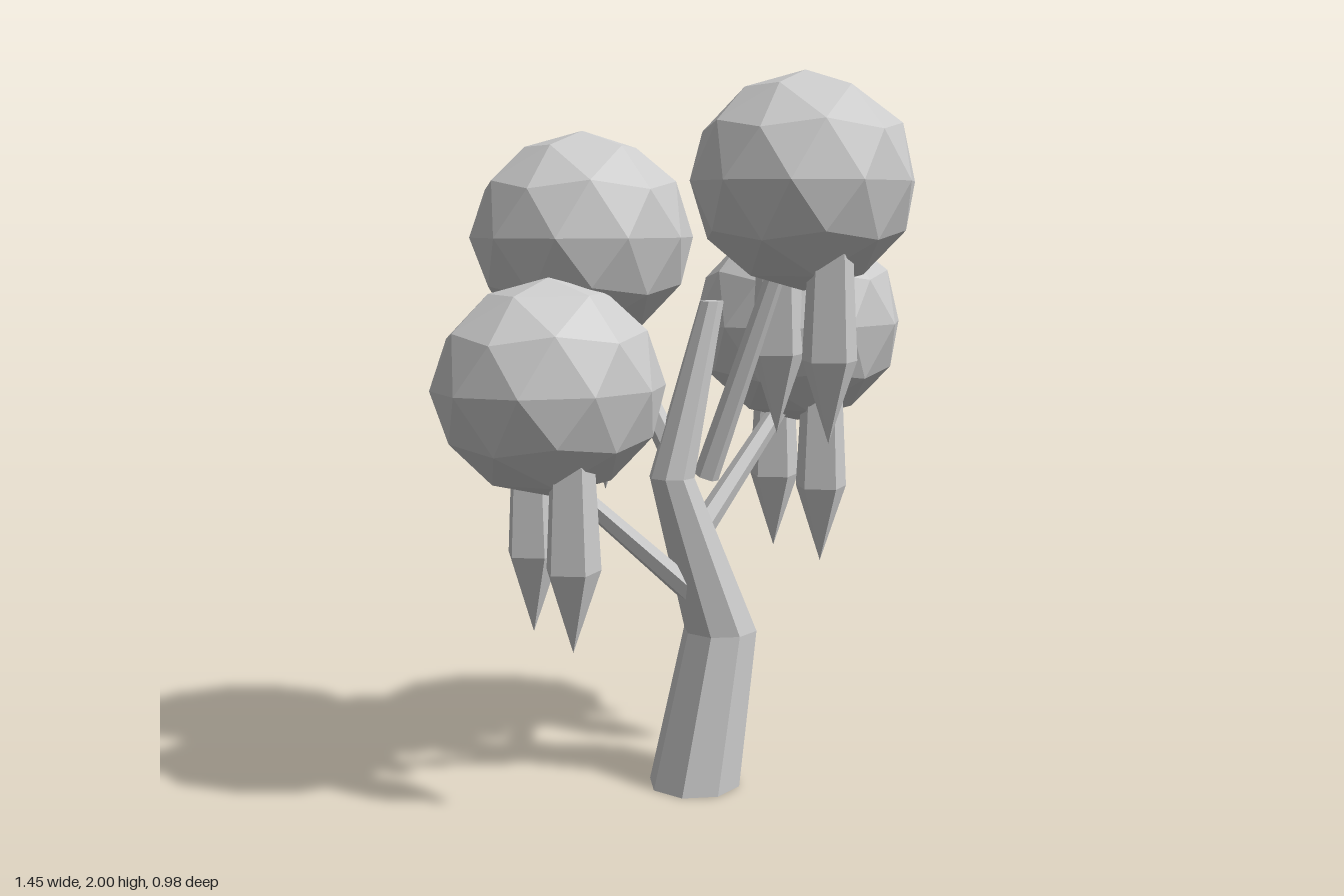
import * as THREE from 'three';

const grey = new THREE.MeshStandardMaterial({ color: 0xcccccc });
grey.name = 'grey';

// Faceted mesh: split every face so it keeps its own normal
function facet(geometry, name) {
  const g = geometry.index ? geometry.toNonIndexed() : geometry;
  g.computeVertexNormals();
  const mesh = new THREE.Mesh(g, grey);
  mesh.name = name;
  return mesh;
}

// Trunk: level octagonal rings following a zigzag, listed from top to bottom
function makeTrunk() {
  const rings = [ // x, y, z, radius
    [0.078, 1.385, -0.022, 0.034],
    [-0.05, 0.9, -0.022, 0.065],
    [0.108, 0.445, -0.022, 0.107],
    [0.022, 0, -0.022, 0.133],
  ];
  const g = new THREE.CylinderGeometry(1, 1, 3, 8, 3);
  const p = g.attributes.position;
  for (let i = 0; i < p.count; i++) {
    const [x, y, z, r] = rings[Math.round(1.5 - p.getY(i))];
    p.setXYZ(i, x + p.getX(i) * r, y, z + p.getZ(i) * r);
  }
  return facet(g, 'trunk');
}

// Branch: tapered six-sided rod between two points
function makeBranch(from, to) {
  const a = new THREE.Vector3(...from);
  const b = new THREE.Vector3(...to);
  const dir = b.clone().sub(a);
  const mesh = facet(new THREE.CylinderGeometry(0.024, 0.036, dir.length(), 6), 'branch');
  mesh.position.copy(a).add(b).multiplyScalar(0.5);
  mesh.quaternion.setFromUnitVectors(new THREE.Vector3(0, 1, 0), dir.normalize());
  return mesh;
}

// Crown: squashed icosphere standing on a vertex
function makeCrown() {
  const g = new THREE.IcosahedronGeometry(1, 1);
  g.rotateZ(-Math.atan(2 / (1 + Math.sqrt(5))));
  g.scale(0.32, 0.29, 0.27);
  return facet(g, 'crown');
}

// Hanging vine: slim pod swelling downwards, then ending in a point
function makeVine(z) {
  const profile = [[0, -0.69], [0.077, -0.47], [0.062, -0.19], [0, -0.12]]
    .map(([r, y]) => new THREE.Vector2(r, y));
  const mesh = facet(new THREE.LatheGeometry(profile, 5), 'hangingVine');
  mesh.position.z = z;
  return mesh;
}

export function createModel() {
  const tree = new THREE.Group();
  tree.name = 'tree';
  tree.add(makeTrunk());

  // Each foliage cluster: crown centre, branch start, branch end
  const clusters = [
    [[0.22, 1.71, 0.22], [0.035, 0.9, 0.02], [0.2, 1.6, 0.2]],
    [[-0.22, 1.56, -0.22], [-0.01, 0.9, -0.03], [-0.22, 1.47, -0.21]],
    [[-0.42, 1.17, -0.02], [0.03, 0.548, -0.02], [-0.42, 0.95, -0.02]],
    [[0.42, 1.31, -0.1], [0.03, 0.718, -0.03], [0.42, 1.14, -0.1]],
  ];
  for (const [centre, from, to] of clusters) {
    tree.add(makeBranch(from, to));
    const foliage = new THREE.Group();
    foliage.name = 'foliage';
    foliage.position.set(...centre);
    foliage.add(makeCrown(), makeVine(0.125), makeVine(-0.125));
    tree.add(foliage);
  }
  return tree;
}
